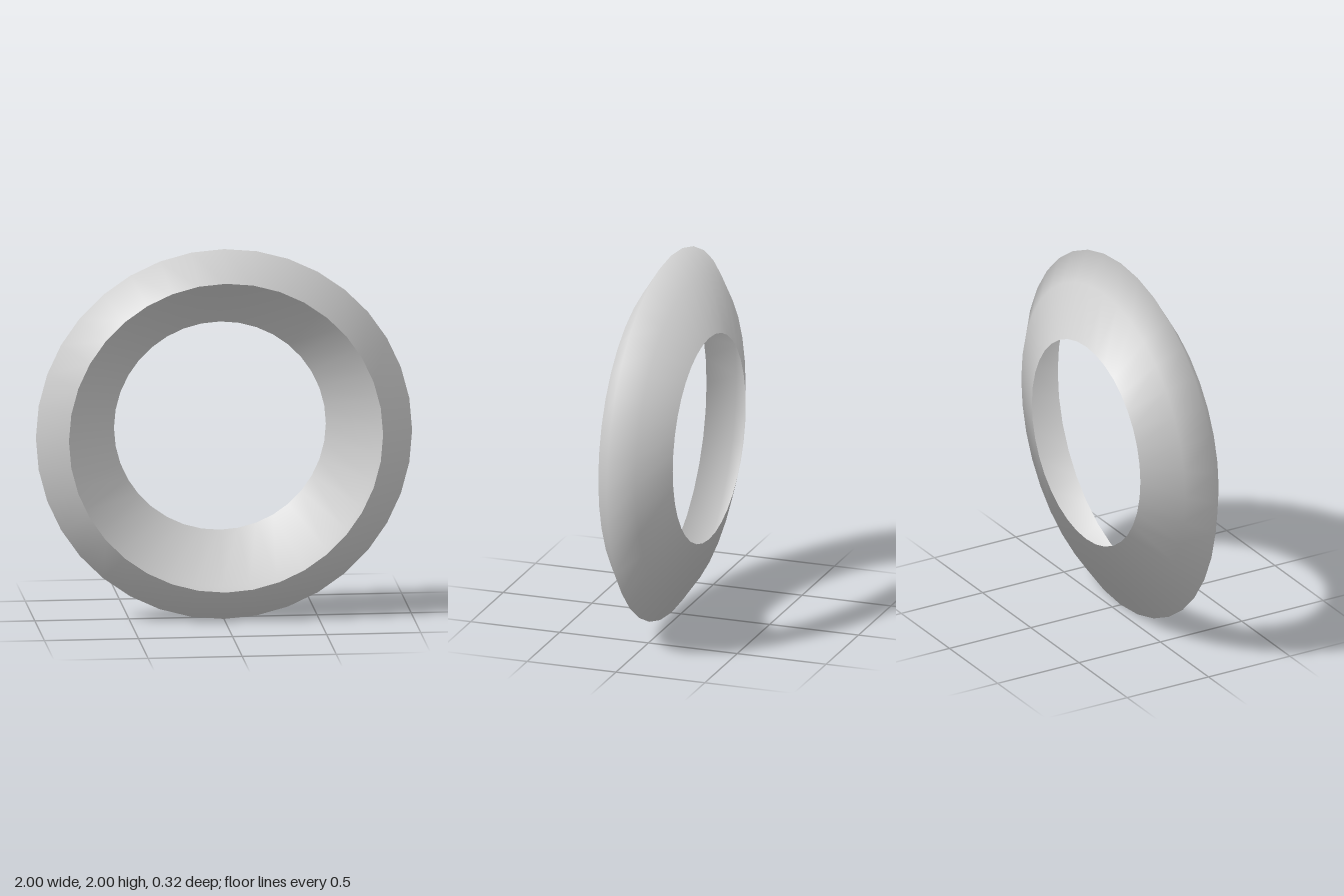
import * as THREE from 'three';

const SEGMENTS = 36;

// Section of the thin shell, back to front: radius, depth, and soft normal angle from the back axis
const profile = [
  { r: 0.563, z: -0.16, tilt: 50 },  // back opening
  { r: 0.85, z: -0.055, tilt: 68 },  // shoulder
  { r: 1.0, z: 0.053, tilt: 111 },   // outer rim
  { r: 0.835, z: 0.16, tilt: 135 },  // front lip
];

// Faceted ring with rounded shading flowing along the section
function ringSurface() {
  const geometry = new THREE.LatheGeometry(
    profile.map((p) => new THREE.Vector2(p.r, p.z)), SEGMENTS);
  const normal = geometry.attributes.normal;
  for (let i = 0; i <= SEGMENTS; i++) {
    const phi = (i / SEGMENTS) * Math.PI * 2;
    profile.forEach((p, j) => {
      const a = THREE.MathUtils.degToRad(p.tilt);
      normal.setXYZ(i * profile.length + j,
        Math.sin(phi) * Math.sin(a), -Math.cos(a), Math.cos(phi) * Math.sin(a));
    });
  }
  return geometry.rotateX(Math.PI / 2); // turn the ring's axis to face the front
}

export function createModel() {
  const model = new THREE.Group();
  model.name = 'hollowRing';

  // Open shell: back slope, shoulder, rim and front bevel, hollow towards the hole
  const shell = new THREE.Mesh(ringSurface(),
    new THREE.MeshStandardMaterial({ color: 0xcccccc, side: THREE.DoubleSide }));
  shell.name = 'ringShell';
  shell.position.y = 1;
  model.add(shell);

  return model;
}
